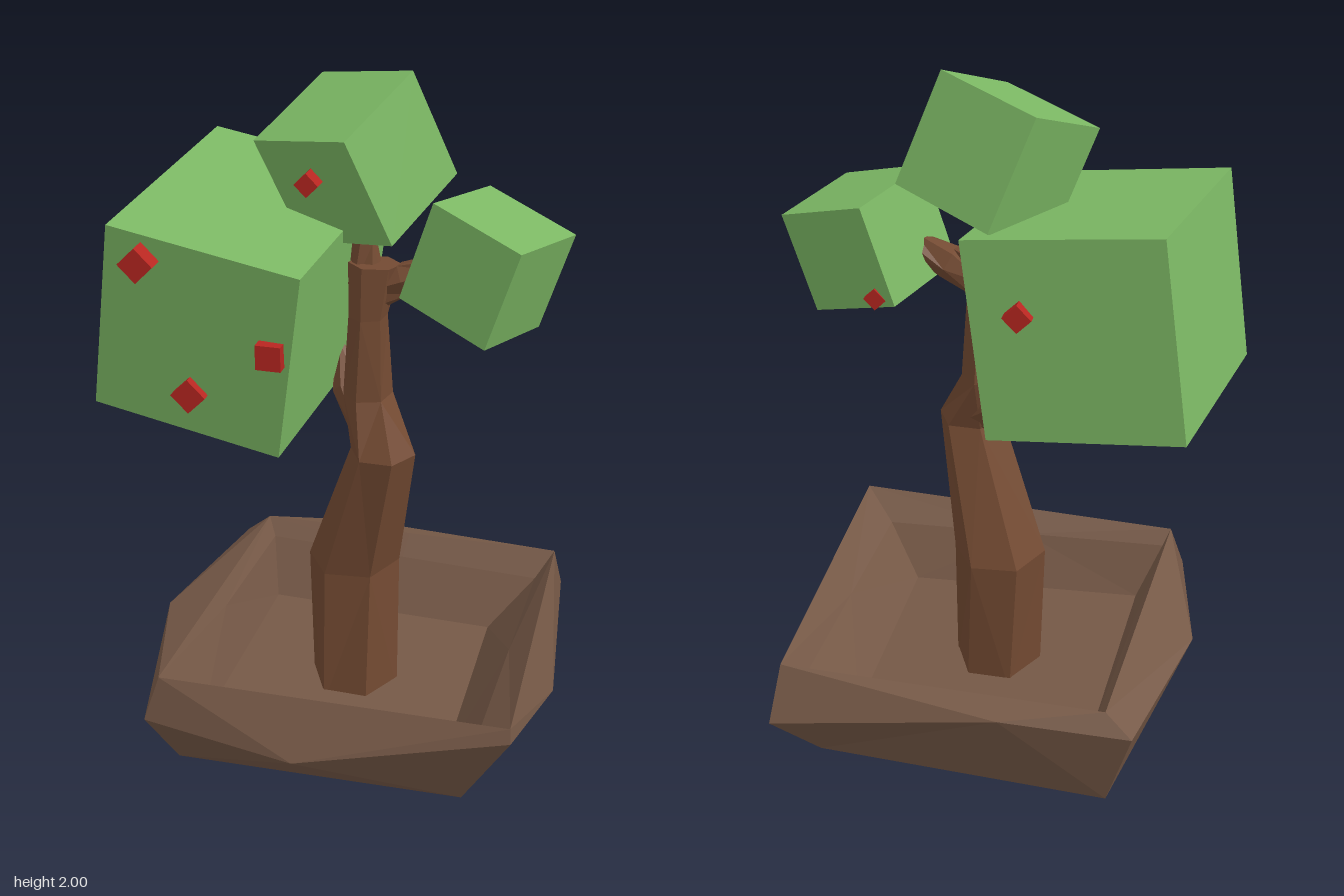
import * as THREE from 'three';

const paint = (color) => new THREE.MeshStandardMaterial({ color, flatShading: true });
const V = (a) => new THREE.Vector3(...a);

// Joins rings of points (counter-clockwise from above) into a closed, faceted skin
function loft(rings) {
  const pos = [], n = rings[0].length;
  const tri = (...pts) => pts.forEach((p) => pos.push(...p));
  const centre = (r) => [0, 1, 2].map((k) => r.reduce((s, p) => s + p[k], 0) / n);
  for (let j = 0; j < rings.length - 1; j++) {
    const a = rings[j], b = rings[j + 1];
    for (let i = 0; i < n; i++) {
      const k = (i + 1) % n;
      if ((i + j) % 2 === 0) { tri(a[i], a[k], b[k]); tri(a[i], b[k], b[i]); }
      else { tri(a[i], a[k], b[i]); tri(a[k], b[k], b[i]); }
    }
  }
  const first = rings[0], last = rings[rings.length - 1];
  const c0 = centre(first), c1 = centre(last);
  for (let i = 0; i < n; i++) {
    const k = (i + 1) % n;
    tri(c0, first[k], first[i]);
    tri(c1, last[i], last[k]);
  }
  const g = new THREE.BufferGeometry();
  g.setAttribute('position', new THREE.Float32BufferAttribute(pos, 3));
  g.computeVertexNormals();
  return g;
}

// Four corners plus the middle of each side
const square = (c) => c.flatMap((p, i) => {
  const next = c[(i + 1) % 4];
  return [p, p.map((v, k) => (v + next[k]) / 2)];
});

// Six-sided ring, optionally tilted to a direction
function ring([x, y, z, rx, rz = rx], turn, dir) {
  const tilt = new THREE.Quaternion();
  if (dir) tilt.setFromUnitVectors(new THREE.Vector3(0, 1, 0), dir);
  return Array.from({ length: 6 }, (_, i) => {
    const a = turn + (i / 6) * Math.PI * 2;
    const p = new THREE.Vector3(Math.cos(a) * rx, 0, -Math.sin(a) * rz).applyQuaternion(tilt);
    return [p.x + x, p.y + y, p.z + z];
  });
}

// Tapering branch along a few points: x, y, z, radius
function limb(pts) {
  return loft(pts.map((p, i) => {
    const a = pts[Math.max(i - 1, 0)], b = pts[Math.min(i + 1, pts.length - 1)];
    const dir = V(b.slice(0, 3)).sub(V(a.slice(0, 3))).normalize();
    return ring(p, i * 0.4, dir);
  }));
}

// Slanted block from its top front corner and its three edges: right, down, back
function block(corner, right, down, back) {
  const [u, v, w] = [V(right), V(down), V(back)];
  const mid = V(corner).addScaledVector(u, 0.5).addScaledVector(v, 0.5).addScaledVector(w, 0.5);
  const m = new THREE.Matrix4().makeBasis(u, v.negate(), w.negate()).setPosition(mid);
  return new THREE.BoxGeometry(1, 1, 1).applyMatrix4(m);
}

export function createModel() {
  const model = new THREE.Group();
  model.name = 'pottedTree';
  const clay = paint(0x755846), bark = paint(0x734a32), leaf = paint(0x7cb864), red = paint(0xb82620);
  const add = (name, geometry, material) => {
    const mesh = new THREE.Mesh(geometry, material);
    mesh.name = name;
    model.add(mesh);
    return mesh;
  };

  // Rough hewn tray: base, bulging side, rim, inner ledge, sunken floor
  const trayRings = [
    square([[-0.40, 0.01, 0.41], [0.45, 0.02, 0.40], [0.46, 0.02, -0.46], [-0.40, 0, -0.46]]),
    [[-0.46, 0.20, 0.52], [0, 0.18, 0.585], [0.605, 0.31, 0.515], [0.645, 0.18, 0.03],
      [0.565, 0.19, -0.59], [-0.11, 0.32, -0.59], [-0.48, 0.27, -0.52], [-0.57, 0.27, 0]],
    square([[-0.42, 0.335, 0.495], [0.60, 0.35, 0.50], [0.55, 0.345, -0.51], [-0.40, 0.34, -0.50]]),
    square([[-0.40, 0.29, 0.46], [0.50, 0.27, 0.42], [0.50, 0.27, -0.45], [-0.37, 0.29, -0.46]]),
    square([[-0.33, 0.13, 0.39], [0.39, 0.12, 0.34], [0.37, 0.12, -0.36], [-0.33, 0.13, -0.36]]),
  ];
  add('tray', loft(trayRings), clay);

  // Crooked trunk: ring centre, radii, turn
  const trunkRings = [
    [[0.03, 0.08, 0, 0.13, 0.15], 0],
    [[0.02, 0.52, -0.02, 0.135, 0.145], 0.1],
    [[0.125, 0.92, 0.06, 0.095, 0.10], 0],
    [[0.07, 1.08, 0.02, 0.07, 0.08], 0.3],
    [[0.07, 1.32, 0.025, 0.055, 0.06], 0.4],
    [[0.085, 1.47, 0.01, 0.075, 0.06], 0.2],
  ].map(([shape, turn]) => ring(shape, turn));
  add('trunk', loft(trunkRings), bark);

  // Branches reaching into the foliage
  add('leftBranch', limb([[0.07, 1.37, 0, 0.05], [0.17, 1.43, 0, 0.05], [0.28, 1.48, 0, 0.035]]), bark);
  add('topBranch', limb([[0.06, 1.40, 0, 0.055], [0.05, 1.52, -0.01, 0.035], [0.04, 1.64, -0.02, 0.02]]), bark);
  add('rightBranch', limb([[0.08, 0.96, 0.02, 0.06], [-0.01, 1.06, -0.05, 0.045], [-0.05, 1.17, -0.11, 0.015]]), bark);

  // Foliage blocks
  add('largeFoliage', block([-0.56, 1.64, 0.36], [0.55, -0.08, 0.05], [-0.085, -0.55, -0.06], [0.07, 0.07, -0.71]), leaf);
  add('topFoliage', block([-0.23, 1.82, 0.10], [0.29, 0.06, 0.14], [0.11, -0.30, -0.08], [0.11, 0.12, -0.29]), leaf);
  add('leftFoliage', block([0.26, 1.68, 0.075], [0.26, -0.085, 0.10], [-0.09, -0.28, 0], [0.10, -0.03, -0.275]), leaf);

  // Small cube fruit half sunk in the foliage: x, y, z, size, turn
  const eighth = Math.PI / 4;
  [
    [-0.46, 1.555, 0.385, 0.07, eighth], [-0.10, 1.33, 0.38, 0.07, 0], [-0.345, 1.17, 0.335, 0.07, eighth],
    [-0.047, 1.75, 0.205, 0.047, eighth], [-0.11, 1.45, -0.335, 0.057, eighth], [0.33, 1.38, -0.17, 0.045, eighth],
  ].forEach(([x, y, z, s, turn], i) => {
    const fruit = add('fruit' + (i + 1), new THREE.BoxGeometry(s, s, s), red);
    fruit.position.set(x, y, z);
    fruit.rotation.z = turn;
  });

  return model;
}
